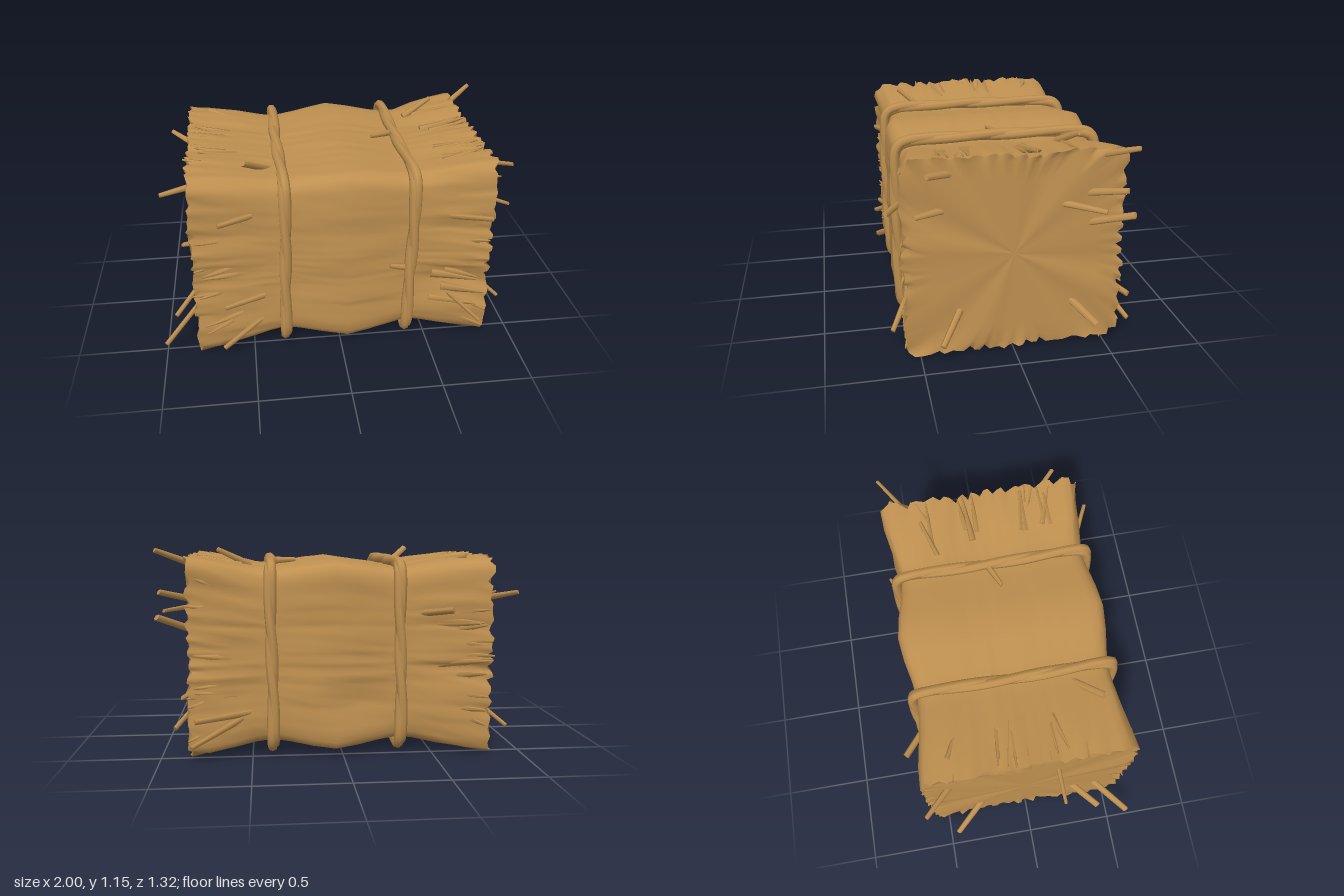
import * as THREE from 'three';
import { mergeGeometries } from 'three/addons/utils/BufferGeometryUtils.js';

const CY = 0.57; // height of the bale's axis
const SIDES = 144;

function seeded(seed) {
  return () => {
    seed = (seed * 16807) % 2147483647;
    return seed / 2147483647;
  };
}

// Point on a rounded square: a = angle, n = squareness
function squarePoint(a, halfY, halfZ, n) {
  const c = Math.cos(a), s = Math.sin(a);
  const r = 1 / Math.pow(Math.abs(c) ** n + Math.abs(s) ** n, 1 / n);
  return [s * r * halfY, c * r * halfZ];
}

// Stations along the bale: x, half height, half depth, squareness, roughness
const STATIONS = [
  [-0.815, 0.545, 0.582, 30, 0.022], [-0.7, 0.533, 0.567, 24, 0.026],
  [-0.53, 0.512, 0.553, 18, 0.022], [-0.4, 0.488, 0.542, 14, 0.012],
  [-0.31, 0.48, 0.54, 12, 0.004], [-0.22, 0.49, 0.55, 14, 0.01],
  [-0.09, 0.508, 0.57, 16, 0.014], [0.04, 0.525, 0.585, 18, 0.012],
  [0.17, 0.51, 0.572, 16, 0.014], [0.3, 0.49, 0.55, 14, 0.01],
  [0.39, 0.48, 0.54, 12, 0.004], [0.48, 0.487, 0.542, 14, 0.014],
  [0.6, 0.508, 0.555, 18, 0.022], [0.73, 0.528, 0.568, 24, 0.026],
  [0.84, 0.545, 0.582, 30, 0.022],
];

// Hollows pressed into the sides: x, angle, length, spread, depth
const HOLLOWS = [
  [0.68, -0.36, 0.2, 0.14, 0.06], [0.66, 1.78, 0.2, 0.12, 0.05],
  [-0.05, 3.6, 0.16, 0.2, 0.04], [-0.66, 1.25, 0.18, 0.1, 0.03],
  [-0.66, -0.15, 0.18, 0.08, 0.03], [0.66, 0.3, 0.16, 0.1, 0.025],
  [-0.66, 3.3, 0.18, 0.1, 0.03], [0.62, 4.5, 0.18, 0.12, 0.03],
];

function hollowAt(x, a) {
  return HOLLOWS.reduce((sum, [hx, ha, len, spread, depth]) => {
    const da = Math.atan2(Math.sin(a - ha), Math.cos(a - ha));
    return sum + depth * Math.exp(-(((x - hx) / len) ** 2) - (da / spread) ** 2);
  }, 0);
}

function grid(rows, flip) {
  const pos = rows.flat(2), idx = [], w = rows[0].length;
  for (let j = 0; j < rows.length - 1; j++) {
    for (let i = 0; i < w; i++) {
      const k = (i + 1) % w;
      const a = j * w + i, b = j * w + k, c = a + w, d = b + w;
      if (flip) idx.push(a, b, c, b, d, c);
      else idx.push(a, c, b, b, c, d);
    }
  }
  const g = new THREE.BufferGeometry();
  g.setAttribute('position', new THREE.Float32BufferAttribute(pos, 3));
  g.setIndex(idx);
  g.computeVertexNormals();
  return g;
}

// Rows of the packed straw body, creased along its length, notched at both ends
function bodyRows() {
  const rand = seeded(4711);
  const crease = Array.from({ length: SIDES }, () => rand() - 0.5);
  return STATIONS.map(([x, hy, hz, n, rough], j) => {
    const end = j === 0 ? -1 : j === STATIONS.length - 1 ? 1 : 0;
    return Array.from({ length: SIDES }, (_, i) => {
      const a = (i / SIDES) * Math.PI * 2;
      const wave = Math.sin(a * 5 + j * 1.1) * 0.3 + Math.sin(a * 13 - j * 0.8) * 0.3;
      const notch = end && i % 3 === 0 ? rand() : 0;
      const swell = 1 + rough * (wave + crease[i] + (rand() - 0.5) * 0.8)
        - hollowAt(x, a) - notch * 0.045;
      const [y, z] = squarePoint(a, hy * swell, hz * swell, n);
      return [x + end * ((rand() - 0.5) * 0.025 - notch * 0.03), CY + y, z];
    });
  });
}

// End face: shrinking rings with shallow irregular folds
function capRows(edge, x, side) {
  return [1, 0.92, 0.75, 0.45, 0].map((f) => edge.map((p, i) => {
    const a = (i / SIDES) * Math.PI * 2;
    const fold = Math.sin(a * 7 + side) * Math.sin(a * 2 + 0.6) ** 3 * 0.016 * f;
    const px = f === 1 ? p[0] : x + side * (fold - 0.006);
    return [px, CY + (p[1] - CY) * f, p[2] * f];
  }));
}

// Two strands loosely twisted into one cord around the bale
function cordGeometry(x) {
  const strands = [0, Math.PI].map((phase) => {
    const pts = [];
    for (let i = 0; i < 160; i++) {
      const a = (i / 160) * Math.PI * 2;
      const t = a * 5 + phase;
      const o = 0.007 * Math.sin(t);
      const [y, z] = squarePoint(a, 0.508 + o, 0.565 + o, 12);
      pts.push(new THREE.Vector3(x + 0.009 * Math.cos(t) + 0.006 * Math.sin(a * 3), CY + y, z));
    }
    return new THREE.TubeGeometry(new THREE.CatmullRomCurve3(pts, true), 240, 0.027, 7, true);
  });
  return mergeGeometries(strands);
}

// Stalk from root to tip, oval in section
function stalkGeometry(root, tip, r0, r1) {
  const a = new THREE.Vector3(...root), b = new THREE.Vector3(...tip);
  const dir = b.clone().sub(a);
  const g = new THREE.CylinderGeometry(r1, r0, dir.length(), 6);
  g.scale(1, 1, 0.65);
  g.applyQuaternion(new THREE.Quaternion().setFromUnitVectors(new THREE.Vector3(0, 1, 0), dir.normalize()));
  const mid = a.add(b).multiplyScalar(0.5);
  return g.translate(mid.x, mid.y, mid.z);
}

// Loose stalks: root x, y, z, tip x, y, z
const STALKS = [
  [0.78, 1.06, -0.42, 0.99, 1.15, -0.58], [0.8, 0.87, -0.36, 0.98, 0.93, -0.54],
  [0.8, 0.7, -0.38, 0.99, 0.8, -0.58], [0.8, 0.83, -0.22, 0.97, 0.82, -0.44],
  [0.8, 0.28, 0.27, 0.98, 0.15, 0.4], [0.8, 0.29, -0.29, 0.93, 0.16, -0.43],
  [0.8, 0.83, 0.35, 0.93, 0.85, 0.52], [0.8, 1.02, 0.31, 0.95, 1.06, 0.46],
  [-0.78, 0.28, 0.4, -0.99, 0.13, 0.61], [-0.78, 0.87, -0.42, -0.95, 0.92, -0.58],
  [-0.78, 0.28, -0.25, -0.95, 0.14, -0.45], [-0.8, 0.3, 0.28, -0.94, 0.19, 0.43],
  [-0.78, 0.89, 0.16, -0.99, 0.84, 0.17],
  [-0.43, 0.37, 0.54, -0.65, 0.34, 0.6], [-0.44, 0.21, 0.53, -0.67, 0.08, 0.62],
  [0.62, 0.3, 0.53, 0.79, 0.16, 0.64], [-0.48, 0.88, 0.54, -0.66, 0.86, 0.6],
  [-0.36, 1.03, 0.3, -0.51, 1.14, 0.45], [0.5, 1.06, -0.3, 0.68, 1.15, -0.37],
  [0.58, 0.81, 0.54, 0.81, 0.83, 0.65], [-0.42, 0.8, -0.52, -0.58, 0.83, -0.65],
  [0.55, 0.24, -0.54, 0.82, 0.11, -0.65], [0.5, 0.27, -0.53, 0.8, 0.25, -0.65],
  [-0.45, 1.04, -0.3, -0.7, 1.11, -0.42],
];

// Pointed shards rooted in the bale, lying close along its ends
function shardGeometries() {
  const rand = seeded(99);
  return Array.from({ length: 84 }, (_, i) => {
    const side = i % 2 ? 1 : -1;
    const a = rand() * Math.PI * 2;
    const [y0, z0] = squarePoint(a, 0.48, 0.525, 14);
    const [y1, z1] = squarePoint(a + (rand() - 0.5) * 0.14, 0.545, 0.584, 24);
    const x1 = (side > 0 ? 0.85 : -0.83) - side * rand() * 0.08;
    const x0 = x1 - side * (0.16 + rand() * 0.12);
    return stalkGeometry([x0, CY + y0, z0], [x1, CY + y1, z1], 0.034, 0.005);
  });
}

export function createModel() {
  const straw = new THREE.MeshStandardMaterial({ color: 0xbf9050 });
  straw.name = 'straw';
  const model = new THREE.Group();
  model.name = 'hayBale';
  const add = (name, geometry) => {
    const mesh = new THREE.Mesh(geometry, straw);
    mesh.name = name;
    model.add(mesh);
  };

  const rows = bodyRows();
  add('baleBody', grid(rows, false));
  add('leftEnd', grid(capRows(rows[rows.length - 1], 0.84, 1), false));
  add('rightEnd', grid(capRows(rows[0], -0.815, -1), true));

  for (const x of [-0.31, 0.39]) add('cord', cordGeometry(x));

  // Knot tails on the left cord
  add('knotTails', mergeGeometries([
    stalkGeometry([0.4, 1.075, -0.04], [0.24, 1.08, 0.03], 0.025, 0.014),
    stalkGeometry([0.39, 0.5, 0.56], [0.27, 0.53, 0.575], 0.024, 0.014),
  ]));

  add('looseStalks', mergeGeometries(STALKS.map((s, i) =>
    stalkGeometry(s.slice(0, 3), s.slice(3), 0.022, 0.014 + (i % 3) * 0.003))));
  add('frayedStraw', mergeGeometries(shardGeometries()));
  return model;
}
